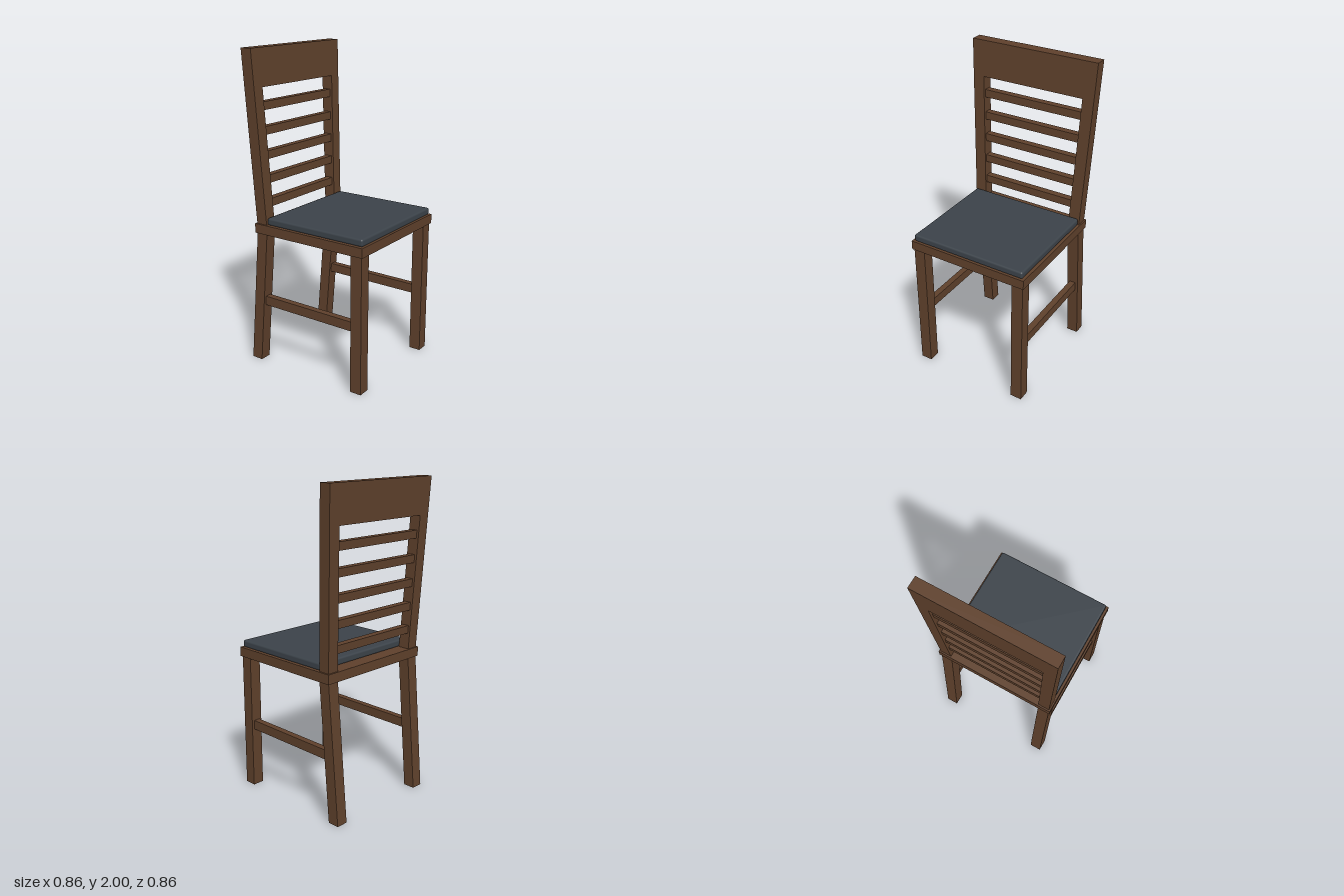
import * as THREE from 'three';
import { RoundedBoxGeometry } from 'three/addons/geometries/RoundedBoxGeometry.js';

const wood = new THREE.MeshStandardMaterial({ color: 0x5e402b });
wood.name = 'brown wood';
const fabric = new THREE.MeshStandardMaterial({ color: 0x3b4249 });
fabric.name = 'slate fabric';

// Beam between two horizontal rectangles, each [x0, x1, z0, z1]
function beam(name, y0, bottom, y1, top) {
  const geometry = new THREE.BoxGeometry(1, 1, 1).toNonIndexed();
  const p = geometry.attributes.position;
  for (let i = 0; i < p.count; i++) {
    const upper = p.getY(i) > 0;
    const r = upper ? top : bottom;
    p.setXYZ(i, p.getX(i) > 0 ? r[1] : r[0], upper ? y1 : y0, p.getZ(i) > 0 ? r[3] : r[2]);
  }
  geometry.computeVertexNormals();
  const mesh = new THREE.Mesh(geometry, wood);
  mesh.name = name;
  return mesh;
}

// Left (+x) and right (-x) copies of a beam
function pair(group, name, y0, b, y1, t) {
  const flip = ([x0, x1, z0, z1]) => [-x1, -x0, z0, z1];
  group.add(beam(name + 'Left', y0, b, y1, t), beam(name + 'Right', y0, flip(b), y1, flip(t)));
}

// The backrest leans back and widens upward
const SEAT = 0.935, RAIL = 1.77, TOP = 2;
const at = (y, a, b) => a + (b - a) * (y - SEAT) / (TOP - SEAT);
const front = (y) => at(y, -0.28, -0.33);
const outer = (y) => at(y, 0.39, 0.428);
const inner = (y) => at(y, 0.315, 0.353);
const post = (y) => [inner(y), outer(y), front(y) - 0.075, front(y)];
const rail = (y) => [-outer(y), outer(y), front(y) - 0.075, front(y)];

export function createModel() {
  const chair = new THREE.Group();
  chair.name = 'chair';

  // Seat board and cushion
  const board = [-0.4, 0.4, -0.365, 0.43];
  chair.add(beam('seat', 0.875, board, SEAT, board));
  const cushion = new THREE.Mesh(new RoundedBoxGeometry(0.77, 0.045, 0.7, 3, 0.012), fabric);
  cushion.name = 'cushion';
  cushion.position.set(0, 0.9575, 0.07);
  chair.add(cushion);

  // Legs and side stretchers
  const frontLeg = [0.315, 0.39, 0.345, 0.42];
  pair(chair, 'frontLeg', 0, frontLeg, 0.875, frontLeg);
  pair(chair, 'backLeg', 0, [0.315, 0.39, -0.43, -0.355], 0.875, [0.315, 0.39, -0.355, -0.28]);
  const stretcher = [0.332, 0.373, -0.335, 0.36];
  pair(chair, 'stretcher', 0.39, stretcher, 0.45, stretcher);

  // Backrest posts, top rail and slats
  pair(chair, 'backPost', SEAT, post(SEAT), RAIL, post(RAIL));
  chair.add(beam('topRail', RAIL, rail(RAIL), TOP, rail(TOP)));
  const slat = (y) => [-inner(y) - 0.015, inner(y) + 0.015, front(y) - 0.06, front(y) - 0.015];
  for (let i = 0; i < 5; i++) {
    const y = 1.06 + i * 0.149;
    chair.add(beam('slat' + (i + 1), y - 0.025, slat(y - 0.025), y + 0.025, slat(y + 0.025)));
  }
  return chair;
}
